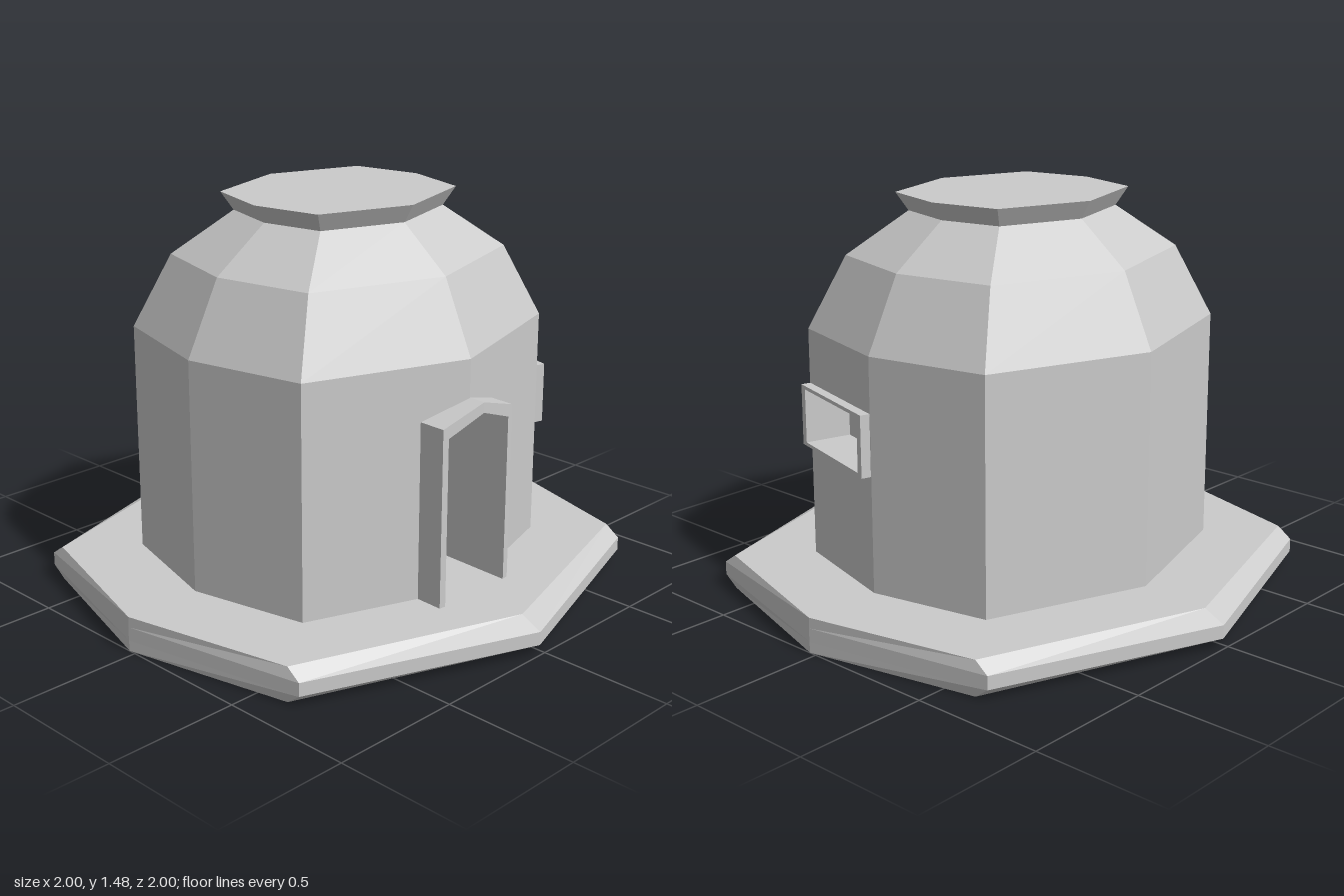
import * as THREE from 'three';

const material = new THREE.MeshStandardMaterial({ color: 0xcccccc, flatShading: true });

function mesh(name, geometry) {
  const m = new THREE.Mesh(geometry, material);
  m.name = name;
  return m;
}

// Joins successive rings of [x, y, z] points; rings run counterclockwise seen from the last ring.
function loft(rings, { closed = true, startCap = false, endCap = false } = {}) {
  const pos = [];
  const tri = (a, b, c) => pos.push(...a, ...b, ...c);
  const n = rings[0].length;
  for (let i = 0; i < rings.length - 1; i++) {
    for (let j = 0; j < (closed ? n : n - 1); j++) {
      const k = (j + 1) % n;
      const [a, b, c, d] = [rings[i][j], rings[i][k], rings[i + 1][k], rings[i + 1][j]];
      tri(a, b, c);
      tri(a, c, d);
    }
  }
  const first = rings[0], last = rings[rings.length - 1];
  for (let j = 1; j < n - 1; j++) {
    if (startCap) tri(first[0], first[j + 1], first[j]);
    if (endCap) tri(last[0], last[j], last[j + 1]);
  }
  const g = new THREE.BufferGeometry();
  g.setAttribute('position', new THREE.Float32BufferAttribute(pos, 3));
  g.computeVertexNormals();
  return g;
}

// Plan outlines [x, z], starting at the front left corner
const basePlan = [[-0.86, 0.67], [-0.03, 1], [0.81, 0.72], [1, 0.03], [0.86, -0.67], [0.03, -1], [-0.81, -0.72], [-1, -0.03]];
const wallPlan = [[-0.61, 0.43], [-0.02, 0.65], [0.58, 0.47], [0.705, 0.02], [0.61, -0.43], [0.015, -0.65], [-0.58, -0.47], [-0.705, -0.02]];
const ring = (plan, y, sx, sz = sx) => plan.map(([x, z]) => [x * sx, y, z * sz]);

const FLOOR = 0.13, EAVE = 0.99;

// One flat wall: the outline is in (fraction along the wall, height)
function wallPanel(p, q, outline, hole) {
  const shape = new THREE.Shape(outline.map(([u, y]) => new THREE.Vector2(u, y)));
  if (hole) shape.holes.push(new THREE.Path(hole.map(([u, y]) => new THREE.Vector2(u, y))));
  const g = new THREE.ShapeGeometry(shape);
  const a = g.attributes.position;
  for (let i = 0; i < a.count; i++) {
    const u = a.getX(i);
    a.setXYZ(i, p[0] + (q[0] - p[0]) * u, a.getY(i), p[1] + (q[1] - p[1]) * u);
  }
  g.computeVertexNormals();
  return g;
}

function createWalls() {
  const walls = new THREE.Group();
  walls.name = 'walls';
  const full = [[0, FLOOR], [1, FLOOR], [1, EAVE], [0, EAVE]];
  // The doorway notches the two front walls, the window pierces the next one
  const leftOfDoor = [[0, FLOOR], [0.715, FLOOR], [0.715, 0.77], [1, 0.83], [1, EAVE], [0, EAVE]];
  const rightOfDoor = [[0.29, FLOOR], [1, FLOOR], [1, EAVE], [0, EAVE], [0, 0.83], [0.29, 0.77]];
  const windowHole = [[0.04, 0.567], [0.04, 0.78], [0.96, 0.78], [0.96, 0.567]];
  wallPlan.forEach((p, i) => {
    const q = wallPlan[(i + 1) % wallPlan.length];
    const outline = i === 0 ? leftOfDoor : i === 1 ? rightOfDoor : full;
    walls.add(mesh('wall', wallPanel(p, q, outline, i === 2 ? windowHole : null)));
  });
  return walls;
}

// Gabled door surround with a bent front and a deep passage behind it
function createDoorway() {
  const outer = [[0.167, FLOOR], [0.167, 0.79], [-0.02, 0.85], [-0.2, 0.79], [-0.2, FLOOR]];
  const inner = [[0.14, FLOOR], [0.14, 0.752], [-0.02, 0.812], [-0.175, 0.752], [-0.175, FLOOR]];
  const front = (pts) => pts.map(([x, y]) => [x, y, 0.715 - 0.14 * Math.abs(x + 0.02)]);
  const back = (pts, z, dx) => pts.map(([x, y]) => [x + dx, y, z]);
  return mesh('doorway', loft(
    [back(outer, 0.55, 0.005), front(outer), front(inner), back(inner, 0.1, 0.02)],
    { closed: false, endCap: true }));
}

// Framed window recess set on the right-hand front wall
function createWindow() {
  const rect = (h, y0, y1, z) => [[-h, y0, z], [h, y0, z], [h, y1, z], [-h, y1, z]];
  const w = mesh('window', loft([
    rect(0.231, 0.56, 0.787, -0.02), rect(0.231, 0.56, 0.787, 0.036),
    rect(0.203, 0.573, 0.774, 0.036), rect(0.203, 0.573, 0.774, -0.14),
  ], { endCap: true }));
  const [p, q] = [wallPlan[2], wallPlan[3]];
  w.position.set((p[0] + q[0]) / 2, 0, (p[1] + q[1]) / 2);
  w.rotation.y = Math.atan2(p[1] - q[1], q[0] - p[0]);
  return w;
}

export function createModel() {
  const model = new THREE.Group();
  model.name = 'hut';
  // Plinth, bevelled towards front and back
  model.add(mesh('base', loft([
    ring(basePlan, 0, 1, 0.92), ring(basePlan, 0.04, 1), ring(basePlan, 0.09, 1), ring(basePlan, FLOOR, 1, 0.92),
  ], { startCap: true, endCap: true })));
  model.add(createWalls(), createDoorway(), createWindow());
  // Faceted dome and the flared cap on it
  model.add(mesh('roof', loft([ring(wallPlan, EAVE, 1), ring(wallPlan, 1.255, 0.81), ring(wallPlan, 1.41, 0.505)])));
  model.add(mesh('roofCap', loft([ring(wallPlan, 1.41, 0.505), ring(wallPlan, 1.477, 0.567)], { startCap: true, endCap: true })));
  return model;
}
